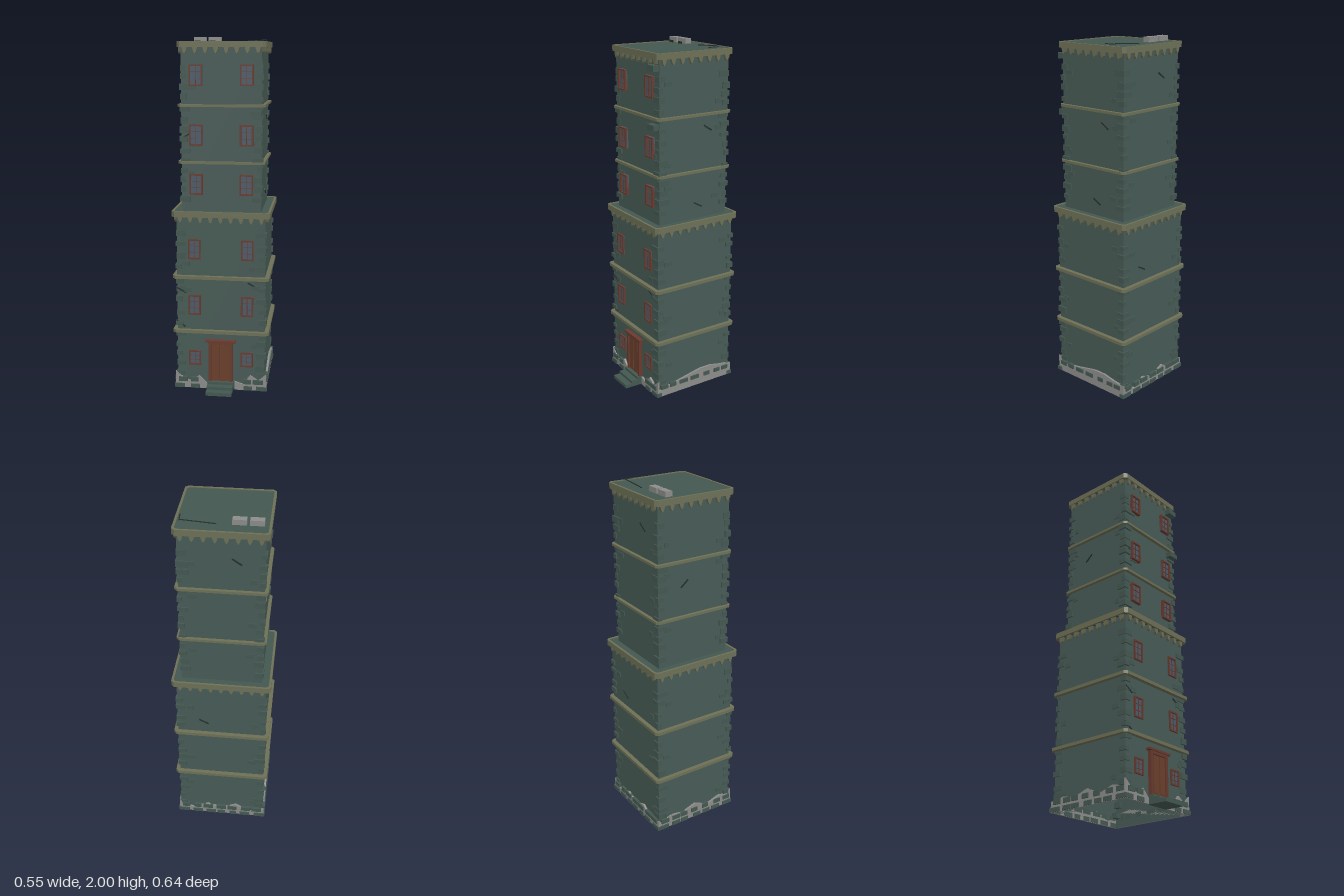
import * as THREE from 'three';

const mat = (name, color, side = THREE.FrontSide) => {
  const m = new THREE.MeshStandardMaterial({ color, side });
  m.name = name;
  return m;
};

export function createModel() {
  const wall = mat('greenWall', 0x485b56, THREE.DoubleSide);
  const brick = mat('greenBrick', 0x445751);
  const trim = mat('oliveTrim', 0x6d7056);
  const plaster = mat('greyPlaster', 0x8c8c8a);
  const wood = mat('doorWood', 0x6a3f2c);
  const frame = mat('windowFrame', 0x693a2e);
  const glass = mat('windowGlass', 0x4c5b68);
  const dark = mat('darkCrack', 0x25302e);

  const model = new THREE.Group();
  model.name = 'tower';
  const tower = new THREE.Group();
  tower.name = 'towerBlock';
  tower.position.z = -0.045; // the steps push the block back
  model.add(tower);

  let seed = 17;
  const rnd = (a = 0, b = 1) => {
    seed = (seed * 16807) % 2147483647;
    return a + (b - a) * (seed / 2147483647);
  };
  const add = (name, geo, material, parent, x = 0, y = 0, z = 0) => {
    const m = new THREE.Mesh(geo, material);
    m.name = name;
    m.position.set(x, y, z);
    parent.add(m);
    return m;
  };
  const box = (name, w, h, d, material, parent, x, y, z) =>
    add(name, new THREE.BoxGeometry(w, h, d), material, parent, x, y, z);

  // One group per face, turned so that its local +z points outward: front, +x, back, -x
  const sides = ['front', 'left', 'back', 'right'].map((n, i) => {
    const g = new THREE.Group();
    g.name = n + 'Side';
    g.rotation.y = i * Math.PI / 2;
    tower.add(g);
    return g;
  });

  // Square slab with cut corners, optionally a ring
  const octagon = (path, r, c) => {
    [[-r + c, -r], [r - c, -r], [r, -r + c], [r, r - c], [r - c, r], [-r + c, r], [-r, r - c], [-r, -r + c]]
      .forEach(([x, y], i) => (i ? path.lineTo(x, y) : path.moveTo(x, y)));
    path.closePath();
    return path;
  };
  const slab = (name, r, y, h, material, inner) => {
    const s = octagon(new THREE.Shape(), r, 0.016);
    if (inner) s.holes.push(octagon(new THREE.Path(), inner, 0.012));
    const g = new THREE.ExtrudeGeometry(s, { depth: h, bevelEnabled: false });
    g.rotateX(-Math.PI / 2);
    return add(name, g, material, tower, 0, y, 0);
  };

  // Tapered corbel below a cornice
  const corbelShape = new THREE.Shape();
  [[-0.015, 0], [-0.008, -0.025], [0, -0.036], [0.008, -0.025], [0.015, 0]]
    .forEach(([x, y], i) => (i ? corbelShape.lineTo(x, y) : corbelShape.moveTo(x, y)));
  const corbelGeo = new THREE.ExtrudeGeometry(corbelShape, { depth: 0.016, bevelEnabled: false });

  // Two stacked blocks: walls, bands, cornices, corbels, corner stones, loose bricks
  const blocks = [
    { half: 0.25, y0: 0, y1: 1.03, bands: [0.345, 0.665], bandH: 0.018, out: 0.276, top: 1.045, corbels: 9 },
    { half: 0.222, y0: 1.03, y1: 1.955, bands: [1.315, 1.628], bandH: 0.014, out: 0.243, top: 1.972, corbels: 8 },
  ];
  for (const b of blocks) {
    const shell = new THREE.CylinderGeometry(b.half * Math.SQRT2, b.half * Math.SQRT2, b.y1 - b.y0, 4, 1, true)
      .rotateY(Math.PI / 4).toNonIndexed();
    shell.computeVertexNormals();
    add('walls', shell, wall, tower, 0, (b.y0 + b.y1) / 2, 0);
    for (const y of b.bands) slab('floorBand', b.out - 0.002, y - b.bandH / 2, b.bandH, trim);
    slab('corniceRing', b.out, b.top - 0.032, 0.032, trim, b.out - 0.013);
    slab('corniceDeck', b.out - 0.012, b.top - 0.03, 0.026, brick);

    for (const side of sides) {
      for (let i = 0; i < b.corbels; i++) {
        const x = (i / (b.corbels - 1) - 0.5) * 2 * (b.half - 0.022);
        add('corbel', corbelGeo, trim, side, x, b.top - 0.03, b.half);
      }
      // Thin bricks showing through the render
      const levels = [b.y0, ...b.bands, b.y1 - 0.07];
      for (let f = 0; f < 3; f++) {
        for (const s of [-1, 1]) {
          const y = rnd(levels[f] + 0.05, levels[f + 1] - 0.03);
          box('looseBrick', rnd(0.03, 0.05), 0.025, 0.008, brick, side, s * rnd(b.half - 0.075, b.half - 0.05), y, b.half + 0.001);
        }
      }
    }
    // Corner stones
    for (const sx of [-1, 1]) for (const sz of [-1, 1]) {
      const n = 14;
      for (let i = 0; i < n; i++) {
        const w = rnd(0.025, 0.065), d = rnd(0.025, 0.065), o = b.half + rnd(0.003, 0.01);
        const y = b.y0 + 0.06 + (i + rnd(0, 0.4)) * (b.y1 - b.y0 - 0.13) / n;
        box('cornerStone', w, rnd(0.022, 0.035), d, brick, tower, sx * (o - w / 2), y, sz * (o - d / 2));
      }
    }
  }

  // Broken plaster around the foot, with bricks over it
  const jagged = (x0, x1, tops, side) => {
    const s = new THREE.Shape();
    s.moveTo(x0, 0);
    s.lineTo(x1, 0);
    tops.forEach((t, i) => s.lineTo(x1 + (x0 - x1) * i / (tops.length - 1), t));
    s.closePath();
    add('footPlaster', new THREE.ExtrudeGeometry(s, { depth: 0.012, bevelEnabled: false }), plaster, side, 0, 0, 0.25);
  };
  jagged(-0.262, -0.08, [0.03, 0.075, 0.04, 0.06, 0.1], sides[0]);
  jagged(0.08, 0.262, [0.1, 0.06, 0.09, 0.035, 0.05], sides[0]);
  jagged(-0.262, 0.262, [0.075, 0.085, 0.1, 0.1, 0.085, 0.07, 0.06, 0.03], sides[1]);
  jagged(-0.262, 0.262, [0.06, 0.03, 0.08, 0.045, 0.07, 0.03, 0.06], sides[2]);
  jagged(-0.262, 0.262, [0.06, 0.08, 0.05, 0.09, 0.06, 0.075, 0.04], sides[3]);
  sides.forEach((side, k) => {
    const rows = k === 1 ? [0.058] : [0.013, 0.052];
    rows.forEach((y, r) => {
      for (let i = 0; i < 7; i++) {
        const x = -0.225 + i * 0.075 + rnd(-0.01, 0.01);
        if (k === 0 && Math.abs(x) < 0.1) continue;
        box('footBrick', rnd(0.04, 0.062), r ? 0.026 : 0.024, 0.02, brick, side, x, y, 0.258);
      }
    });
    for (const s of [-1, 1]) box('footCorner', 0.03, 0.022, 0.02, brick, side, s * 0.252, 0.013, 0.258);
  });

  // Window: pane, four frame bars and glazing bars
  const makeWindow = (x, y, w, h, zBack, depth) => {
    const g = new THREE.Group();
    g.name = 'window';
    g.position.set(x, y, zBack);
    sides[0].add(g);
    const t = 0.008;
    box('pane', w, h, depth * 0.6, glass, g, 0, 0, depth * 0.3);
    for (const s of [-1, 1]) {
      box('frameUpright', t, h, depth, frame, g, s * (w - t) / 2, 0, depth / 2);
      box('frameRail', w, t, depth, frame, g, 0, s * (h - t) / 2, depth / 2);
      box('glazingRail', w, 0.002, depth * 0.75, frame, g, 0, s * h * 0.16, depth * 0.375);
    }
    box('glazingUpright', 0.003, h, depth * 0.8, frame, g, 0, 0, depth * 0.4);
  };
  for (const s of [-1, 1]) {
    makeWindow(s * 0.15, 0.183, 0.07, 0.086, 0.24, 0.02);
    for (const y of [0.5, 0.827]) makeWindow(s * 0.15, y, 0.07, 0.115, 0.24, 0.02);
    for (const y of [1.193, 1.467, 1.792]) makeWindow(s * 0.14, y, 0.074, 0.115, 0.215, 0.025);
  }

  // Door with frame, lintel and plank grooves
  box('doorLeaf', 0.115, 0.24, 0.025, wood, tower, 0, 0.165, 0.25);
  for (const s of [-1, 1]) {
    box('doorPost', 0.016, 0.24, 0.036, frame, tower, s * 0.062, 0.165, 0.254);
    box('doorPanel', 0.035, 0.2, 0.006, wood, tower, s * 0.025, 0.165, 0.264);
  }
  box('doorHead', 0.14, 0.016, 0.036, frame, tower, 0, 0.277, 0.254);
  box('doorLintel', 0.172, 0.012, 0.038, frame, tower, 0, 0.291, 0.259);

  // Entrance steps
  [[0.365, 0.02], [0.325, 0.036], [0.285, 0.05]].forEach(([z, h]) =>
    box('step', 0.147, h, z - 0.25, brick, tower, 0, h / 2, (z + 0.25) / 2));

  // Wall-mounted cooling units
  for (const y of [1.895, 1.585]) box('coolingUnit', 0.064, 0.032, 0.036, brick, tower, 0.19, y, 0.242);

  // Roof units on dark feet
  for (const x of [-0.171, -0.084]) {
    box('roofUnit', 0.072, 0.028, 0.039, plaster, tower, x, 1.986, -0.143);
    box('roofUnitFoot', 0.036, 0.012, 0.005, dark, tower, x - 0.014, 1.975, -0.122);
  }

  // Fallen rod on the roof
  box('rod', 0.185, 0.004, 0.004, dark, tower, 0.123, 1.978, -0.158).rotation.z = 0.07;
  box('rodEnd', 0.005, 0.004, 0.068, dark, tower, 0.217, 1.98, -0.125).rotation.y = 0.07;

  // Cracks: [side, x, y, half width of the wall, slope]
  [[0, -0.225, 0.585, 0.25, -0.5], [0, -0.23, 0.385, 0.25, -0.6], [0, 0.18, 0.625, 0.25, -0.5],
    [0, -0.2, 1.46, 0.222, 0.5], [1, 0.09, 1.55, 0.222, -0.55], [1, 0.03, 1.12, 0.222, -0.5],
    [2, 0.08, 1.8, 0.222, -0.6], [3, -0.06, 1.5, 0.222, 0.7], [2, -0.1, 0.75, 0.25, -0.5]]
    .forEach(([k, x, y, half, slope]) => {
      box('crack', 0.06, 0.008, 0.006, dark, sides[k], x, y, half + 0.001).rotation.z = slope;
    });

  return model;
}
